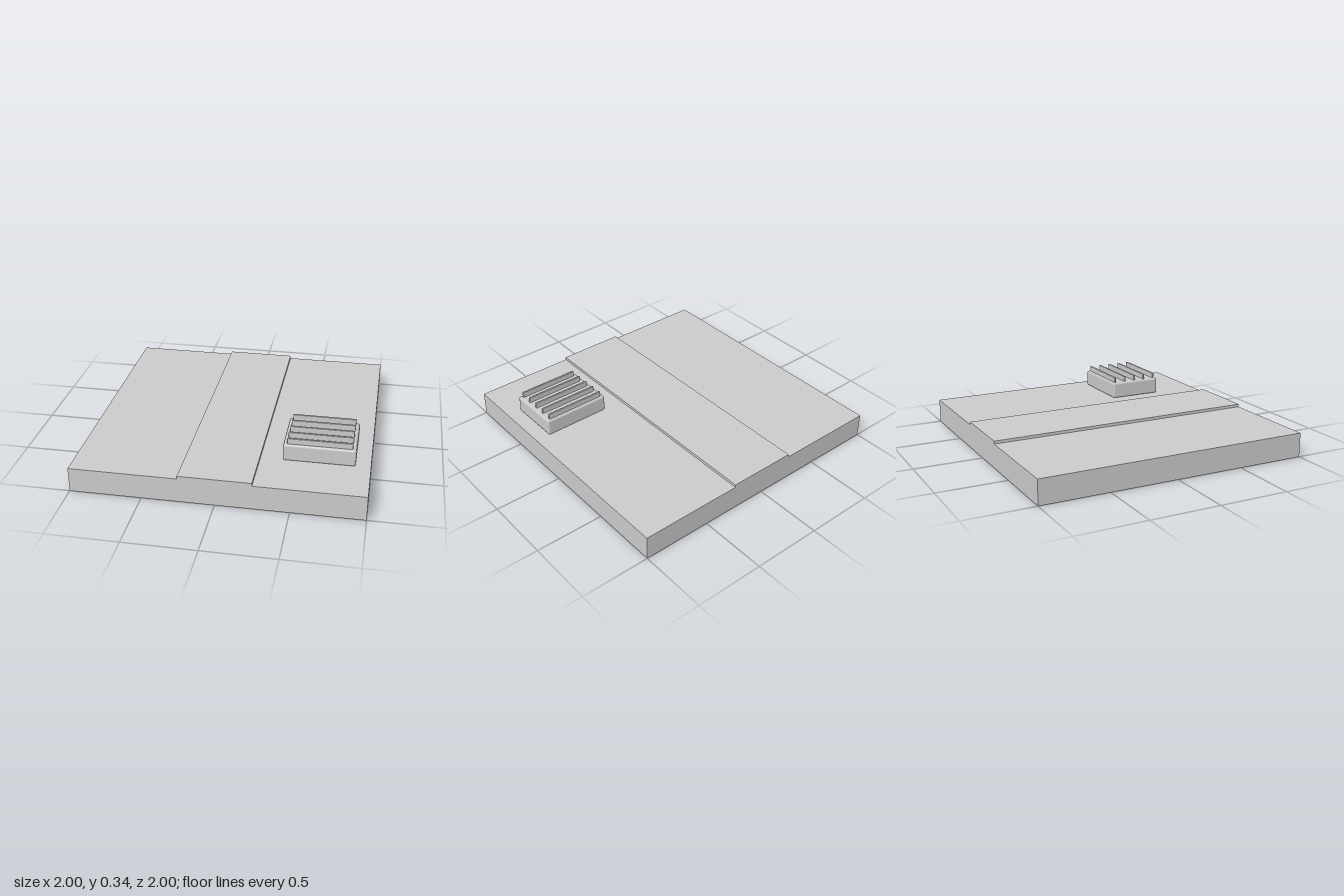
import * as THREE from 'three';
import { RoundedBoxGeometry } from 'three/addons/geometries/RoundedBoxGeometry.js';

export function createModel() {
  const model = new THREE.Group();
  model.name = 'panelWithVent';
  const material = new THREE.MeshStandardMaterial({ color: 0xcccccc });

  const add = (parent, name, geometry, x, y, z) => {
    const mesh = new THREE.Mesh(geometry, material);
    mesh.name = name;
    mesh.position.set(x, y, z);
    parent.add(mesh);
  };

  // Square slab with a shallow raised strip running front to back
  const deck = 0.177, strip = 0.198, half = 0.25;
  const profile = new THREE.Shape([
    [-1, 0], [1, 0], [1, deck], [half, deck],
    [half, strip], [-half, strip], [-half, deck], [-1, deck],
  ].map(([x, y]) => new THREE.Vector2(x, y)));
  const slab = new THREE.ExtrudeGeometry(profile, { depth: 2, bevelEnabled: false });
  add(model, 'ridgedSlab', slab, 0, 0, -1);

  // Vent unit near the front left corner
  const vent = new THREE.Group();
  vent.name = 'ventUnit';
  vent.position.set(0.65, deck, 0.45);
  model.add(vent);

  // Housing with softened edges
  add(vent, 'ventHousing', new RoundedBoxGeometry(0.495, 0.123, 0.395, 1, 0.015), 0, 0.0615, 0);

  // Five upright fins, sunk slightly into the housing
  const fin = new RoundedBoxGeometry(0.445, 0.08, 0.016, 1, 0.005);
  for (let i = -2; i <= 2; i++) add(vent, 'ventFin', fin, 0, 0.124, i * 0.0855);

  return model;
}
